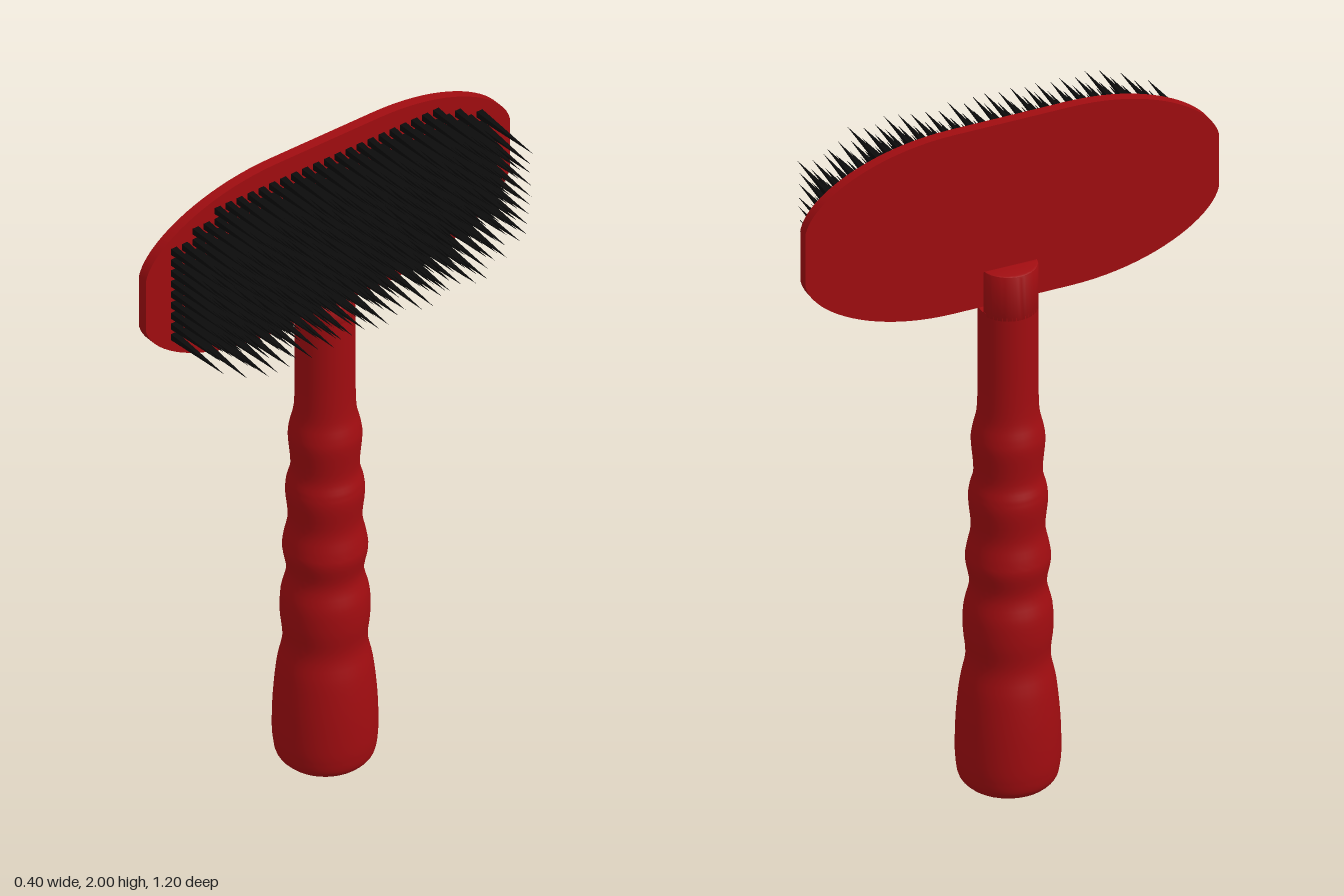
import * as THREE from 'three';
import { mergeGeometries, toCreasedNormals } from 'three/addons/utils/BufferGeometryUtils.js';

const AX = -0.06, AZ = -0.01; // handle axis
const red = new THREE.MeshStandardMaterial({ color: 0xa00c10 });
const black = new THREE.MeshStandardMaterial({ color: 0x0a0a0a });

function add(group, name, geometry, material) {
  const mesh = new THREE.Mesh(geometry, material);
  mesh.name = name;
  group.add(mesh);
  return mesh;
}

// Turned grip with finger swells, up to the floor of the slot
function handleGeometry() {
  const profile = [
    [0.115, 0.003], [0.13, 0.02], [0.137, 0.05], [0.14, 0.1], [0.137, 0.2], [0.127, 0.3],
    [0.112, 0.38], [0.119, 0.46], [0.117, 0.53], [0.102, 0.6], [0.113, 0.67], [0.109, 0.71],
    [0.098, 0.77], [0.105, 0.85], [0.102, 0.89], [0.091, 0.94], [0.098, 1.03], [0.094, 1.07],
    [0.083, 1.12], [0.08, 1.2], [0.08, 1.32], [0.08, 1.445],
  ].map(([r, y]) => new THREE.Vector2(r, y));
  const side = new THREE.SplineCurve(profile).getPoints(84);
  const points = [new THREE.Vector2(0, 0), new THREE.Vector2(0.105, 0), ...side, new THREE.Vector2(0, 1.445)];
  return toCreasedNormals(new THREE.LatheGeometry(points, 40), 0.7);
}

// Prong beside the slot: a circle segment cut at distance d from the axis
function prongGeometry(d, dir, top) {
  const b = 0.006, r = 0.08 - b, cut = d + b;
  const a = Math.acos(cut / r);
  const shape = new THREE.Shape();
  for (let i = 0; i <= 24; i++) {
    const t = -a + (2 * a * i) / 24;
    shape[i ? 'lineTo' : 'moveTo'](r * Math.cos(t), r * Math.sin(t));
  }
  shape.closePath();
  const y0 = 1.43;
  const geo = new THREE.ExtrudeGeometry(shape, {
    depth: top - y0 - 2 * b, bevelSize: b, bevelThickness: b, bevelSegments: 2,
  });
  geo.rotateX(-Math.PI / 2).translate(0, y0 + b, 0);
  if (dir < 0) geo.rotateY(Math.PI);
  return toCreasedNormals(geo, 0.6);
}

// Thin oval pad with short straight ends
function padGeometry() {
  const s = new THREE.Shape();
  const H = 0.272, e = 0.08;
  s.moveTo(0.6, -e);
  s.lineTo(0.6, e);
  s.bezierCurveTo(0.58, 0.172, 0.4, H, 0.17, H);
  s.lineTo(-0.17, H);
  s.bezierCurveTo(-0.4, H, -0.58, 0.172, -0.6, e);
  s.lineTo(-0.6, -e);
  s.bezierCurveTo(-0.58, -0.172, -0.4, -H, -0.17, -H);
  s.lineTo(0.17, -H);
  s.bezierCurveTo(0.4, -H, 0.58, -0.172, 0.6, -e);
  const geo = new THREE.ExtrudeGeometry(s, { depth: 0.03, bevelEnabled: false, curveSegments: 20 });
  geo.rotateY(Math.PI / 2).translate(-0.065, 1.728, 0);
  return toCreasedNormals(geo, 0.5);
}

// Grid of tapered square bristles inside a rounded outline
function bristleGeometry() {
  let seed = 7;
  const rand = () => (seed = (seed * 16807) % 2147483647) / 2147483647;
  const list = [];
  for (let i = -14; i <= 14; i++) {
    for (let j = -6; j <= 6; j++) {
      const z = i * 0.036, y = j * 0.0345;
      if (Math.pow(Math.abs(z) / 0.553, 3) + Math.pow(Math.abs(y) / 0.235, 3) > 1) continue;
      const length = 0.205 + 0.03 * rand();
      const cone = new THREE.ConeGeometry(0.0135, length, 4, 1);
      cone.rotateY(Math.PI / 4).translate(0, length / 2, 0).rotateZ(-Math.PI / 2);
      cone.rotateY((rand() - 0.5) * 0.03).rotateZ((rand() - 0.5) * 0.03);
      cone.translate(-0.038, 1.73 + y, z + 0.004);
      list.push(cone.toNonIndexed());
    }
  }
  const geo = mergeGeometries(list);
  geo.computeVertexNormals();
  return geo;
}

export function createModel() {
  const model = new THREE.Group();
  model.name = 'bristleBrush';

  const handle = new THREE.Group();
  handle.name = 'handle';
  handle.position.set(AX, 0, AZ);
  add(handle, 'grip', handleGeometry(), red);
  add(handle, 'backProng', prongGeometry(0.013, -1, 1.57), red);
  add(handle, 'frontProng', prongGeometry(0.027, 1, 1.49), red);
  model.add(handle);

  add(model, 'pad', padGeometry(), red);
  add(model, 'bristles', bristleGeometry(), black);
  return model;
}
